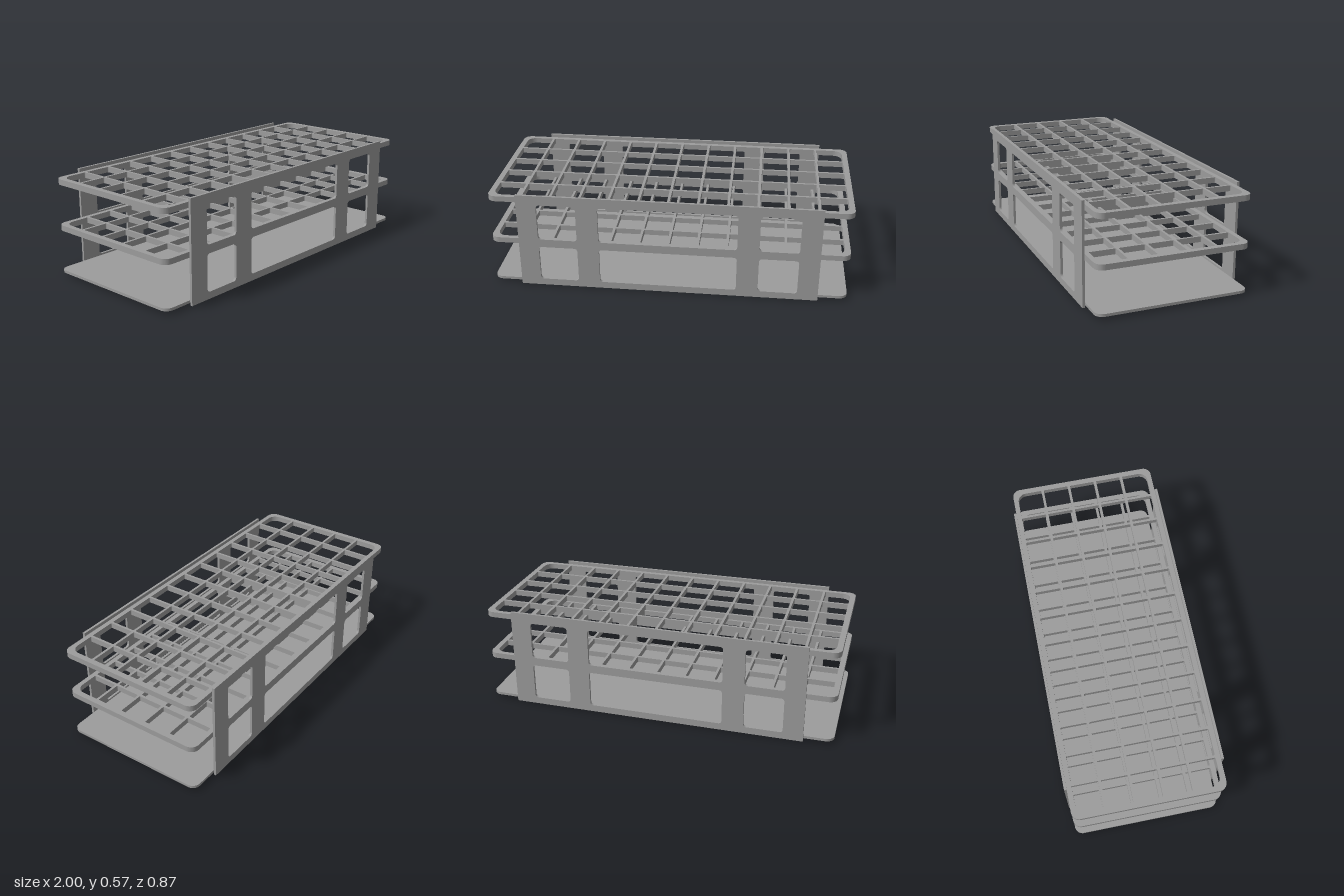
import * as THREE from 'three';

const material = new THREE.MeshStandardMaterial({ color: 0x9c9c9c });

// Rounded rectangle; r = radii of [bottom-left, bottom-right, top-right, top-left]
function roundedRect(path, x0, y0, x1, y1, r) {
  const [a, b, c, d] = Array.isArray(r) ? r : [r, r, r, r];
  path.moveTo(x0 + a, y0);
  path.lineTo(x1 - b, y0);
  if (b) path.absarc(x1 - b, y0 + b, b, -Math.PI / 2, 0);
  path.lineTo(x1, y1 - c);
  if (c) path.absarc(x1 - c, y1 - c, c, 0, Math.PI / 2);
  path.lineTo(x0 + d, y1);
  if (d) path.absarc(x0 + d, y1 - d, d, Math.PI / 2, Math.PI);
  path.lineTo(x0, y0 + a);
  if (a) path.absarc(x0 + a, y0 + a, a, Math.PI, Math.PI * 1.5);
  return path;
}

function extrude(shape, depth) {
  return new THREE.ExtrudeGeometry(shape, { depth, bevelEnabled: false, curveSegments: 6 });
}

function add(group, geometry, name) {
  const mesh = new THREE.Mesh(geometry, material);
  mesh.name = name;
  group.add(mesh);
  return mesh;
}

const HALF_X = 1, HALF_Z = 0.42, PLATE = 0.014;
const trayOutline = () => roundedRect(new THREE.Shape(), -HALF_X, -HALF_Z, HALF_X, HALF_Z, 0.045);

// Tray pierced by a 12 x 5 grid of openings; outer corner openings are rounded
function gridTray(thickness) {
  const cols = 12, rows = 5, wall = 0.014, inX = 0.969, inZ = 0.393, corner = 0.05;
  const w = (2 * inX - wall * (cols - 1)) / cols;
  const h = (2 * inZ - wall * (rows - 1)) / rows;
  const shape = trayOutline();
  for (let i = 0; i < cols; i++) {
    for (let j = 0; j < rows; j++) {
      const x = -inX + i * (w + wall), z = -inZ + j * (h + wall);
      const left = i === 0, right = i === cols - 1, low = j === 0, high = j === rows - 1;
      const radii = [left && low, right && low, right && high, left && high]
        .map((outer) => (outer ? corner : 0.005));
      shape.holes.push(roundedRect(new THREE.Path(), x, z, x + w, z + h, radii));
    }
  }
  return extrude(shape, thickness).rotateX(-Math.PI / 2);
}

// Side plate with two rows of three windows
function sidePlate() {
  const shape = roundedRect(new THREE.Shape(), -0.837, 0.004, 0.837, 0.568, 0);
  for (const [y0, y1] of [[0.043, 0.251], [0.299, 0.512]]) {
    for (const [x0, x1] of [[-0.725, -0.506], [-0.385, 0.383], [0.504, 0.723]]) {
      shape.holes.push(roundedRect(new THREE.Path(), x0, y0, x1, y1, 0.018));
    }
  }
  return extrude(shape, PLATE);
}

// Foot with a sloping outer side
function wedgeFoot() {
  const profile = [[0.932, 0], [0.948, 0], [0.964, 0.018], [0.932, 0.018]];
  const shape = new THREE.Shape(profile.map(([x, y]) => new THREE.Vector2(x, y)));
  return extrude(shape, 0.015).translate(0, 0, -0.0075);
}

export function createModel() {
  const rack = new THREE.Group();
  rack.name = 'tubeRack';

  // Grid trays
  const tray = gridTray(0.031);
  add(rack, tray, 'topTray').position.y = 0.518;
  add(rack, tray, 'middleTray').position.y = 0.26;

  // Solid base
  const base = extrude(trayOutline(), 0.015).rotateX(-Math.PI / 2);
  add(rack, base, 'baseTray').position.y = 0.018;

  // Front and back plates
  const plate = sidePlate();
  add(rack, plate, 'frontPlate').position.z = HALF_Z;
  add(rack, plate, 'backPlate').position.z = -HALF_Z - PLATE;

  // Small feet under the base corners
  const foot = wedgeFoot();
  for (const turn of [0, Math.PI]) {
    for (const z of [-0.376, 0.376]) {
      const mesh = add(rack, foot, 'foot');
      mesh.rotation.y = turn;
      mesh.position.z = z;
    }
  }
  return rack;
}
